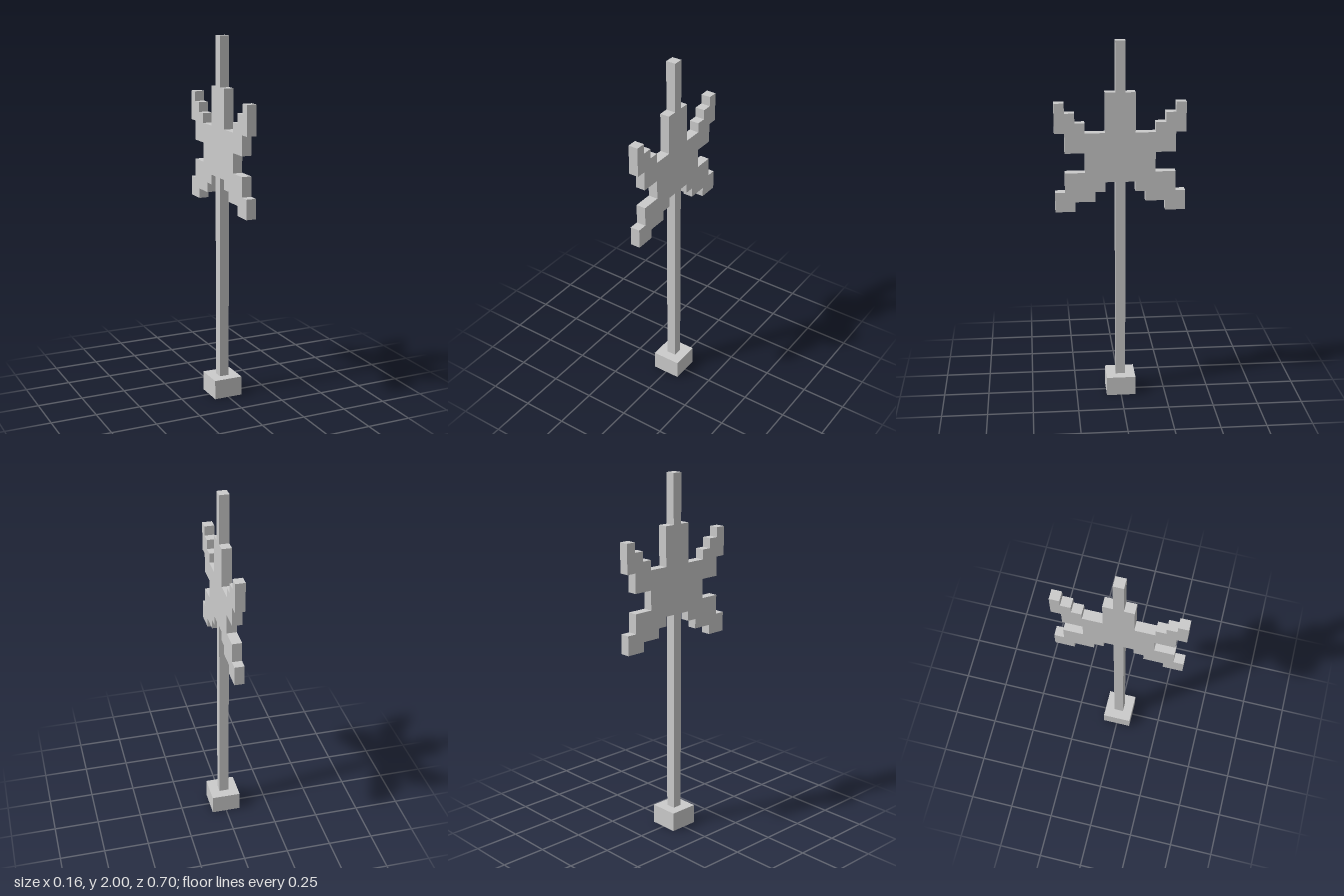
import * as THREE from 'three';

const U = 2 / 37; // one block of the stepped grid

export function createModel() {
  const group = new THREE.Group();
  const material = new THREE.MeshStandardMaterial({ color: 0xcccccc, flatShading: true });

  const add = (name, geometry, y = 0) => {
    const mesh = new THREE.Mesh(geometry, material);
    mesh.name = name;
    mesh.position.y = y;
    group.add(mesh);
  };

  // Square foot and the long shaft standing on it
  add('base', new THREE.BoxGeometry(3 * U, 2 * U, 3 * U), U);
  add('shaft', new THREE.BoxGeometry(U, 21 * U, U), 12.5 * U);

  // Stepped head: half outline in blocks [half width, height], bottom to top
  const half = [
    // lower prong
    [1.5, 23], [1.5, 22], [2.5, 22], [2.5, 21], [4.5, 21], [4.5, 20], [6.5, 20],
    [6.5, 22], [5.5, 22], [5.5, 24], [3.5, 24],
    // upper prong
    [3.5, 26], [5.5, 26], [5.5, 28], [6.5, 28], [6.5, 31], [5.5, 31],
    [5.5, 30], [4.5, 30], [4.5, 29], [3.5, 29], [3.5, 28],
    // crown and tip
    [1.5, 28], [1.5, 32], [0.5, 32], [0.5, 37],
  ];
  const mirrored = half.map(([w, h]) => [-w, h]).reverse();
  const outline = [...half, ...mirrored].map(([w, h]) => new THREE.Vector2(w * U, h * U));
  const head = new THREE.ExtrudeGeometry(new THREE.Shape(outline), { depth: U, bevelEnabled: false });
  head.translate(0, 0, -U / 2).rotateY(Math.PI / 2); // lies in the y-z plane
  add('head', head);

  return group;
}
